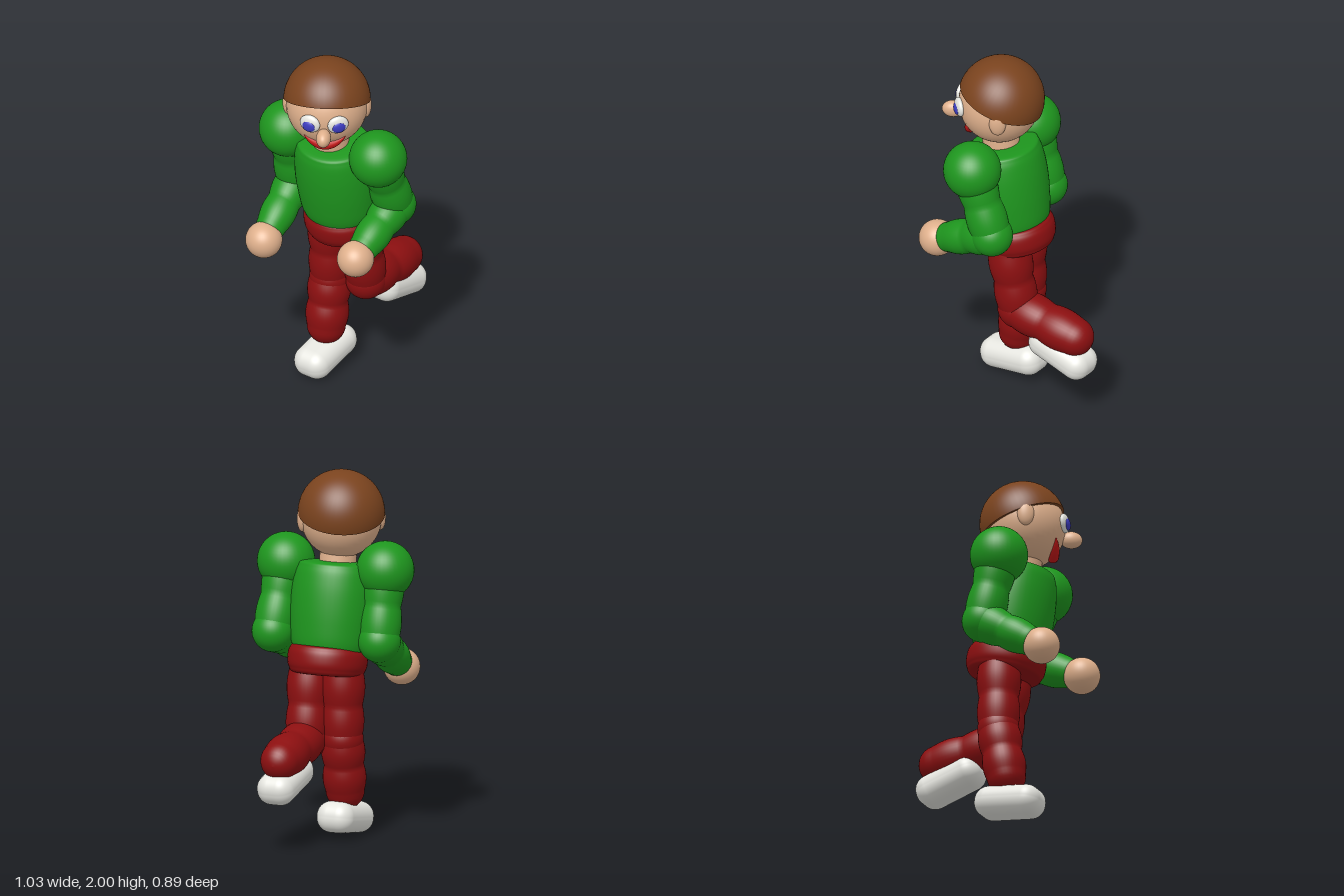
import * as THREE from 'three';
import { RoundedBoxGeometry } from 'three/addons/geometries/RoundedBoxGeometry.js';

const mat = (color, side = THREE.FrontSide) => {
  const m = new THREE.MeshStandardMaterial({ side });
  m.color.set(color);
  return m;
};
const GREEN = mat(0x1e961e), RED = mat(0x8c0f10), SKIN = mat(0xdfb08c),
  BROWN = mat(0x7a431e), WHITE = mat(0xe6e6e0), BLUE = mat(0x3c3cc0), LIP = mat(0xc81818);

const V = (x, y, z) => new THREE.Vector3(x, y, z);

function add(parent, name, geometry, material, pos = [0, 0, 0]) {
  const mesh = new THREE.Mesh(geometry, material);
  mesh.name = name;
  mesh.position.set(...pos);
  parent.add(mesh);
  return mesh;
}

const ball = (parent, name, r, material, pos, scale = [1, 1, 1]) => {
  const m = add(parent, name, new THREE.SphereGeometry(r, 40, 28), material, pos);
  m.scale.set(...scale);
  return m;
};

// Lathe with a smoothed outline through the given [radius, height] points
function barrel(points) {
  const curve = new THREE.SplineCurve(points.map(p => new THREE.Vector2(...p)));
  const pts = curve.getPoints(48).map(p => p.setX(Math.max(0, p.x)));
  return new THREE.LatheGeometry(pts, 48);
}

// Soft limb from a to b: a row of bulging segments with round ends
function limb(parent, name, a, b, r0, r1, segments, material) {
  const A = V(...a), B = V(...b), len = A.distanceTo(B), pts = [];
  for (let i = 0; i < 8; i++) {
    const t = i / 8 * Math.PI / 2;
    pts.push(new THREE.Vector2(0.92 * r0 * Math.sin(t), -0.92 * r0 * Math.cos(t)));
  }
  const n = segments * 10;
  for (let i = 0; i <= n; i++) {
    const t = i / n, bulge = 0.92 + 0.1 * Math.abs(Math.sin(t * segments * Math.PI));
    pts.push(new THREE.Vector2(THREE.MathUtils.lerp(r0, r1, t) * bulge, t * len));
  }
  for (let i = 1; i <= 8; i++) {
    const t = i / 8 * Math.PI / 2;
    pts.push(new THREE.Vector2(i === 8 ? 0 : 0.92 * r1 * Math.cos(t), len + 0.92 * r1 * Math.sin(t)));
  }
  const m = add(parent, name, new THREE.LatheGeometry(pts, 36), material, a);
  m.quaternion.setFromUnitVectors(V(0, 1, 0), B.sub(A).normalize());
}

// Point on the head at a yaw and elevation (degrees) from the -x face direction
function onHead(yaw, elev, r) {
  const a = yaw * Math.PI / 180, e = elev * Math.PI / 180;
  return V(-r * Math.cos(e) * Math.cos(a), r * Math.sin(e), r * Math.cos(e) * Math.sin(a));
}

// Smiling lips: a tube on the face, thinned toward its corners
function smile() {
  const path = [];
  for (let i = 0; i <= 12; i++) {
    const u = i / 6 - 1;
    path.push(onHead(u * 36, -26 - 20 * (1 - u * u), 0.217));
  }
  const curve = new THREE.CatmullRomCurve3(path), n = 40, radial = 14;
  const g = new THREE.TubeGeometry(curve, n, 0.034, radial);
  const p = g.attributes.position, v = V(0, 0, 0);
  for (let i = 0; i <= n; i++) {
    const c = curve.getPointAt(i / n), k = 0.05 + 0.95 * Math.sin(i / n * Math.PI);
    for (let j = 0; j <= radial; j++) {
      const id = i * (radial + 1) + j;
      v.fromBufferAttribute(p, id).sub(c).multiplyScalar(k).add(c);
      p.setXYZ(id, v.x, v.y, v.z);
    }
  }
  g.computeVertexNormals();
  return g;
}

function makeHead() {
  const head = new THREE.Group();
  head.name = 'head';
  ball(head, 'face', 0.22, SKIN, [0, 0, 0]);

  // Half-sphere hair, tipped back and closed underneath
  const hair = new THREE.Group();
  hair.name = 'hair';
  add(hair, 'hairCap', new THREE.SphereGeometry(0.235, 48, 24, 0, Math.PI * 2, 0, Math.PI / 2), BROWN);
  add(hair, 'hairUnderside', new THREE.CircleGeometry(0.235, 48), BROWN).rotation.x = Math.PI / 2;
  hair.position.set(0.01, 0.025, 0);
  hair.rotation.z = -0.34;
  head.add(hair);

  for (const s of [-1, 1]) {
    // Flattened eyes and irises resting on the face
    for (const [name, r, elev, dist, m] of [['eye', 0.058, 1, 0.222, WHITE], ['iris', 0.037, -1, 0.238, BLUE]]) {
      const p = onHead(s * 20, elev, dist);
      const e = ball(head, name, r, m, p.toArray(), [0.42, 0.9, 1]);
      e.rotation.y = s * 20 * Math.PI / 180;
    }
    ball(head, 'ear', 0.07, SKIN, [0.01, -0.005, s * 0.212], [0.65, 1, 0.4]);
  }
  ball(head, 'nose', 0.05, SKIN, [-0.25, -0.06, 0], [1.2, 0.95, 0.8]);
  add(head, 'mouth', smile(), LIP);
  head.position.set(-0.18, 1.74, -0.02);
  head.rotation.y = 0.56;
  return head;
}

export function createModel() {
  const model = new THREE.Group();
  model.name = 'walkingFigure';
  model.add(makeHead());
  add(model, 'neck', new THREE.CylinderGeometry(0.1, 0.1, 0.16, 32), SKIN, [-0.16, 1.5, -0.01]).rotation.z = 0.15;

  // Leaning barrel torso and hips
  const torso = add(model, 'torso', barrel([[0, -0.25], [0.17, -0.25], [0.208, -0.22], [0.224, -0.1], [0.228, 0.02],
    [0.222, 0.12], [0.205, 0.2], [0.17, 0.23], [0, 0.235]]), GREEN, [-0.11, 1.27, -0.005]);
  torso.rotation.z = 0.15;
  torso.scale.set(0.93, 1, 1.02);
  const hips = add(model, 'hips', barrel([[0, -0.085], [0.17, -0.083], [0.208, -0.05], [0.217, 0], [0.208, 0.05],
    [0.17, 0.075], [0, 0.078]]), RED, [-0.055, 0.98, 0]);
  hips.rotation.z = 0.17;

  // Arms: shoulder, elbow, hand
  const arms = [
    ['left', [-0.13, 1.48, 0.285], [0.01, 1.12, 0.295], [-0.355, 0.96, 0.3]],
    ['right', [-0.167, 1.475, -0.29], [-0.075, 1.1, -0.3], [-0.415, 0.895, -0.268]],
  ];
  for (const [side, shoulder, elbow, hand] of arms) {
    const arm = new THREE.Group();
    arm.name = side + 'Arm';
    ball(arm, 'shoulder', 0.157, GREEN, shoulder);
    limb(arm, 'upperArm', shoulder, elbow, 0.11, 0.11, 2, GREEN);
    ball(arm, 'elbow', 0.115, GREEN, elbow);
    const cuff = V(...elbow).lerp(V(...hand), 0.77).toArray();
    limb(arm, 'forearm', elbow, cuff, 0.108, 0.09, 2, GREEN);
    ball(arm, 'hand', 0.1, SKIN, hand);
    model.add(arm);
  }

  // Legs: hip, knee, ankle, shoe centre and shoe tilt
  const legs = [
    ['left', [-0.03, 0.92, 0.095], [0.03, 0.55, 0.085], [0.395, 0.5, 0.065], [0.32, 0.38, 0.07], -0.27],
    ['right', [-0.06, 0.92, -0.09], [-0.055, 0.55, -0.09], [-0.1, 0.26, -0.083], [-0.118, 0.107, -0.075], 0.17],
  ];
  for (const [side, hip, knee, ankle, shoe, tilt] of legs) {
    const leg = new THREE.Group();
    leg.name = side + 'Leg';
    limb(leg, 'thigh', hip, knee, 0.12, 0.112, 2, RED);
    ball(leg, 'knee', 0.113, RED, knee);
    limb(leg, 'shin', knee, ankle, 0.117, 0.115, 2, RED);
    add(leg, 'shoe', new RoundedBoxGeometry(0.39, 0.17, 0.212, 8, 0.08), WHITE, shoe).rotation.z = tilt;
    model.add(leg);
  }
  return model;
}
